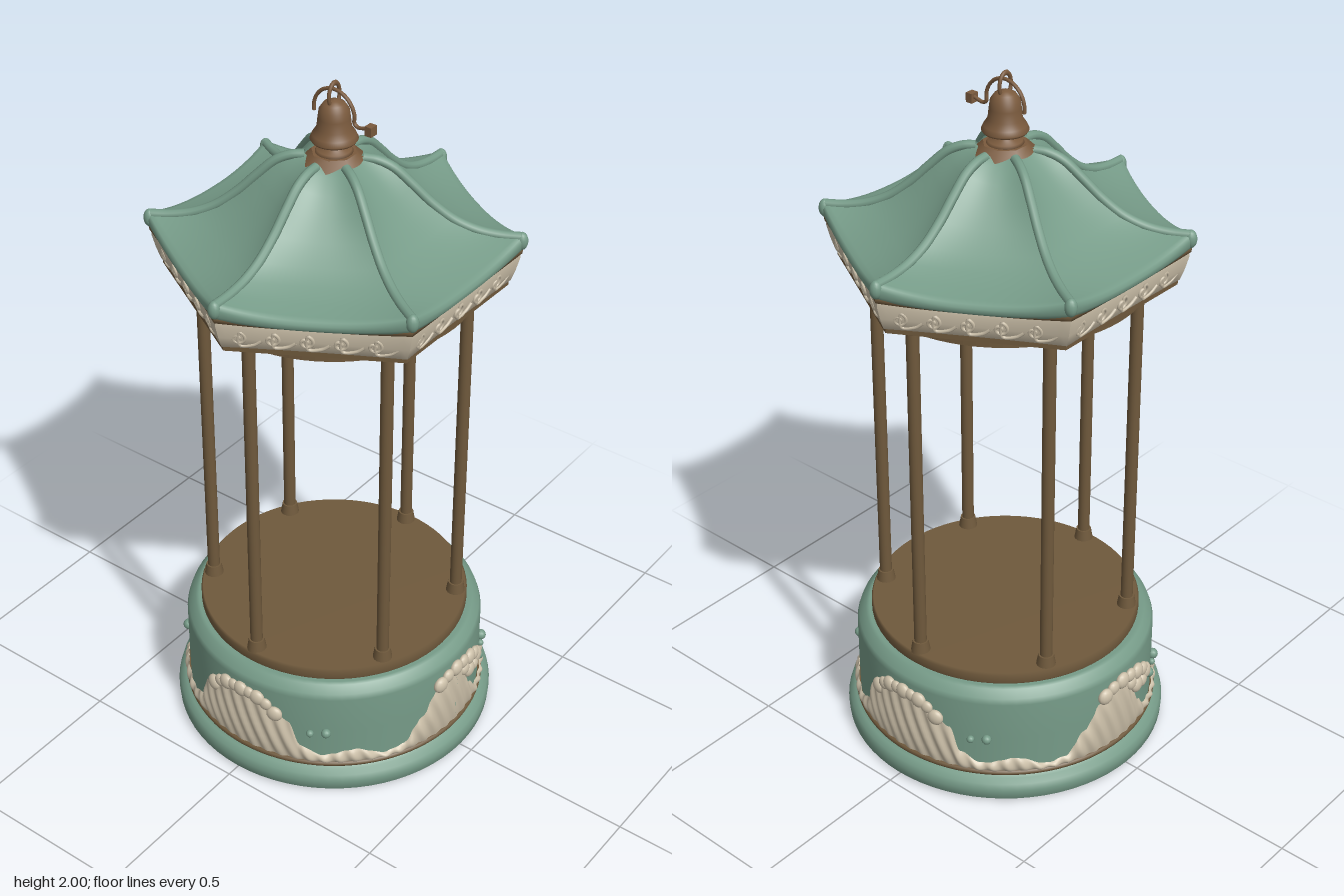
import * as THREE from 'three';
import { mergeGeometries } from 'three/addons/utils/BufferGeometryUtils.js';

const mat = (name, color, side = THREE.FrontSide) => {
  const m = new THREE.MeshStandardMaterial({ color, side });
  m.name = name;
  return m;
};
const V = (x, y, z) => new THREE.Vector3(x, y, z);
const lerp = THREE.MathUtils.lerp;

// Smooth surface: u runs to the right, v runs downward
function grid(nu, nv, f) {
  const pos = [], idx = [];
  for (let j = 0; j <= nv; j++) for (let i = 0; i <= nu; i++) pos.push(...f(i / nu, j));
  for (let j = 0; j < nv; j++) for (let i = 0; i < nu; i++) {
    const a = j * (nu + 1) + i, b = a + nu + 1;
    idx.push(a, b, b + 1, a, b + 1, a + 1);
  }
  const g = new THREE.BufferGeometry();
  g.setAttribute('position', new THREE.Float32BufferAttribute(pos, 3));
  g.setIndex(idx);
  g.computeVertexNormals();
  return g;
}

// Six-sided loft; each row is [mid distance, mid y, corner radius, corner y]
function hexLoft(rows) {
  const face = grid(24, rows.length - 1, (u, j) => {
    const s = u * 2 - 1, [a, ym, r, yc] = rows[j], k = s * s;
    return [s * r / 2, lerp(ym, yc, Math.pow(Math.abs(s), 2.3)), lerp(a, r * Math.cos(Math.PI / 6), k)];
  });
  return mergeGeometries([0, 1, 2, 3, 4, 5].map(i => face.clone().rotateY(i * Math.PI / 3)));
}

const lathe = pts => new THREE.LatheGeometry(pts.map(p => new THREE.Vector2(...p)), 72);

// Height of the wave relief by angle in degrees, repeating every half turn
const waveTable = [[-45, 0.13], [-33, 0.1], [-26, 0.11], [-18, 0.18], [-11, 0.25], [-4, 0.29], [3, 0.28],
  [7, 0.22], [12, 0.16], [18, 0.115], [28, 0.105], [42, 0.135], [58, 0.115], [66, 0.14], [70, 0.22],
  [76, 0.245], [79, 0.285], [90, 0.295], [101, 0.285], [104, 0.245], [110, 0.22], [114, 0.14], [122, 0.11], [135, 0.13]];
function waveHeight(deg) {
  const d = ((deg + 45) % 180 + 180) % 180 - 45;
  const i = Math.max(1, waveTable.findIndex(p => p[0] >= d));
  const [a, b] = [waveTable[i - 1], waveTable[i]];
  return lerp(a[1], b[1], THREE.MathUtils.smoothstep(d, a[0], b[0]));
}

export function createModel() {
  const model = new THREE.Group();
  const green = mat('celadon green', 0x769b88, THREE.DoubleSide);
  const brown = mat('bronze brown', 0x6f593c);
  const copper = mat('copper brown', 0x7a5a3d);
  const cream = mat('ivory cream', 0xcdc1aa, THREE.DoubleSide);
  const add = (name, geo, m, parent = model) => {
    const mesh = new THREE.Mesh(geo, m);
    mesh.name = name;
    parent.add(mesh);
    return mesh;
  };

  // Round base
  add('baseDrum', lathe([[0, 0], [0.452, 0], [0.464, 0.008], [0.466, 0.035], [0.46, 0.055], [0.445, 0.066], [0.43, 0.07],
    [0.429, 0.08], [0.43, 0.2], [0.43, 0.315], [0.424, 0.332], [0.405, 0.352], [0.395, 0.356], [0, 0.356]]), green);
  add('baseTrim', new THREE.TorusGeometry(0.432, 0.009, 8, 96).rotateX(Math.PI / 2).translate(0, 0.078, 0), brown);
  add('floorDisc', lathe([[0, 0.35], [0.382, 0.35], [0.387, 0.36], [0.387, 0.383], [0.382, 0.39], [0, 0.39]]), brown);

  // Wave relief around the drum
  const around = (deg, y, r) => {
    const a = deg * Math.PI / 180;
    return [Math.sin(a) * r, y, Math.cos(a) * r];
  };
  add('waveRelief', grid(480, 10, (u, j) => {
    const deg = u * 360, h = waveHeight(deg), v = 1 - j / 10, y = lerp(0.082, h, v);
    const body = Math.pow(Math.sin(Math.PI * (0.06 + 0.88 * v)), 0.5);
    const groove = Math.sin(deg * 1.1 + (y - 0.08) * 55) * 0.0035;
    return around(deg, y, 0.427 + (0.015 + groove) * body);
  }), cream);

  // Foam crests: curling on front and back, domed on the sides
  const foam = [];
  const blob = (deg, y, r) => foam.push(new THREE.SphereGeometry(r, 14, 10).scale(1, 1, 0.6)
    .rotateY(deg * Math.PI / 180).translate(...around(deg, y, 0.436)));
  const curl = [[-9, 0.268], [-5, 0.282], [0, 0.287], [5, 0.283], [10, 0.272], [15, 0.255], [18, 0.232], [15, 0.215], [10, 0.225], [6, 0.25]];
  for (const turn of [0, 180]) {
    curl.forEach(([d, y], i) => blob(turn + d, y, i % 2 ? 0.021 : 0.025));
    for (let i = -4; i <= 4; i++) {
      const d = i * 3.6;
      blob(turn + 90 + d, 0.286 - Math.pow(Math.abs(i) / 4, 3) * 0.045, i % 2 ? 0.019 : 0.024);
    }
  }
  add('waveFoam', mergeGeometries(foam), cream);
  const drops = [];
  for (const turn of [0, 180]) for (const [d, y, r] of [[24, 0.19, 0.015], [31, 0.188, 0.01], [34, 0.2, 0.016], [-56, 0.195, 0.014], [-62, 0.19, 0.011]])
    drops.push(new THREE.SphereGeometry(r, 12, 8).translate(...around(turn + d, y, 0.434)));
  add('waveDrops', mergeGeometries(drops), green);

  // Six pillars with feet and collars
  for (let i = 0; i < 6; i++) {
    const pillar = new THREE.Group();
    pillar.name = 'pillar' + (i + 1);
    pillar.position.set(Math.cos(i * Math.PI / 3) * 0.36, 0, Math.sin(i * Math.PI / 3) * 0.352);
    add('pillarShaft', new THREE.CylinderGeometry(0.0175, 0.0175, 1.04, 16).translate(0, 0.905, 0), brown, pillar);
    add('pillarFoot', new THREE.CylinderGeometry(0.022, 0.028, 0.035, 16).translate(0, 0.404, 0), brown, pillar);
    add('pillarCollar', new THREE.CylinderGeometry(0.025, 0.021, 0.018, 16).translate(0, 1.412, 0), brown, pillar);
    model.add(pillar);
  }

  // Ceiling plates with a central opening
  const plate = (radius, sides, y, depth) => {
    const s = new THREE.Shape();
    for (let i = 0; i < sides; i++) {
      const a = i / sides * Math.PI * 2;
      s[i ? 'lineTo' : 'moveTo'](Math.cos(a) * radius, Math.sin(a) * radius);
    }
    s.closePath();
    s.holes.push(new THREE.Path().absarc(0, 0, 0.13, 0, Math.PI * 2, true));
    return new THREE.ExtrudeGeometry(s, { depth, bevelEnabled: false, curveSegments: 24 })
      .rotateX(-Math.PI / 2).translate(0, y, 0);
  };
  add('ceilingRing', plate(0.384, 72, 1.42, 0.022), brown);
  add('ceilingPanel', plate(0.457, 6, 1.441, 0.014), brown);

  // Carved frieze under the eaves
  add('frieze', hexLoft([[0.402, 1.532, 0.482, 1.545], [0.407, 1.515, 0.484, 1.525], [0.402, 1.485, 0.474, 1.488],
    [0.396, 1.455, 0.462, 1.455], [0.38, 1.45, 0.44, 1.45]]), cream);
  const swirl = [];
  for (let i = 0; i <= 16; i++) {
    const a = -0.4 + i * 0.5, r = 0.004 + 0.0011 * i;
    swirl.push(V(Math.cos(a) * r, Math.sin(a) * r, 0));
  }
  swirl.push(V(0.005, -0.024, 0), V(0.04, -0.02, 0), V(0.06, -0.005, 0));
  const swirlGeo = new THREE.TubeGeometry(new THREE.CatmullRomCurve3(swirl), 44, 0.0045, 6);
  const carving = [];
  for (let f = 0; f < 6; f++) for (let i = 0; i < 5; i++)
    carving.push(swirlGeo.clone().rotateX(0.2).translate(-0.19 + i * 0.085, 1.488, 0.405).rotateY(f * Math.PI / 3));
  add('friezeSwirls', mergeGeometries(carving), cream);
  add('eaveTrim', hexLoft([[0.405, 1.542, 0.485, 1.56], [0.413, 1.536, 0.49, 1.55], [0.412, 1.526, 0.488, 1.538], [0.398, 1.522, 0.478, 1.535]]), brown);

  // Swept six-sided roof shell with upturned corners
  add('roof', hexLoft([[0.062, 1.79, 0.075, 1.792], [0.09, 1.777, 0.11, 1.786], [0.13, 1.745, 0.15, 1.768], [0.17, 1.7, 0.2, 1.722],
    [0.21, 1.658, 0.25, 1.672], [0.26, 1.616, 0.31, 1.626], [0.31, 1.588, 0.37, 1.6], [0.36, 1.57, 0.43, 1.59],
    [0.4, 1.56, 0.475, 1.591], [0.416, 1.556, 0.49, 1.592], [0.423, 1.548, 0.496, 1.582], [0.423, 1.536, 0.494, 1.562],
    [0.416, 1.528, 0.486, 1.546], [0.395, 1.53, 0.465, 1.545]]), green);
  const ridgePath = new THREE.CatmullRomCurve3([[0.075, 1.79], [0.11, 1.786], [0.15, 1.768], [0.2, 1.722], [0.25, 1.672],
    [0.31, 1.626], [0.37, 1.6], [0.43, 1.589], [0.484, 1.587]].map(([r, y]) => V(r, y, 0)));
  for (let i = 0; i < 6; i++) {
    const ridge = new THREE.Group();
    ridge.name = 'roofRidge' + (i + 1);
    ridge.rotation.y = i * Math.PI / 3;
    add('ridgeRoll', new THREE.TubeGeometry(ridgePath, 40, 0.013, 10), green, ridge);
    add('ridgeTip', new THREE.SphereGeometry(0.017, 14, 10).scale(1, 1.5, 1).translate(0.485, 1.575, 0), green, ridge);
    model.add(ridge);
  }

  // Finial: flange, bell and hanging loop
  add('finialFlange', new THREE.CylinderGeometry(0.06, 0.09, 0.03, 8).rotateY(Math.PI / 8).translate(0, 1.79, 0), copper);
  add('finialBell', lathe([[0, 1.775], [0.052, 1.8], [0.045, 1.812], [0.022, 1.818], [0.018, 1.835], [0.058, 1.836], [0.062, 1.842],
    [0.056, 1.855], [0.045, 1.872], [0.042, 1.9], [0.039, 1.922], [0.028, 1.938], [0.012, 1.946], [0, 1.948]]), copper);
  add('bellLoop', new THREE.TorusGeometry(0.022, 0.005, 8, 28).scale(1, 1.5, 1).translate(0, 1.96, 0), copper);
  const hook = [V(0, 1.9, 0.105), V(0, 1.893, 0.075)];
  for (let i = 0; i <= 10; i++) {
    const a = -0.15 + i / 10 * (Math.PI + 0.3);
    hook.push(V(0, 1.91 + Math.sin(a) * 0.066, Math.cos(a) * 0.064));
  }
  add('hookArm', new THREE.TubeGeometry(new THREE.CatmullRomCurve3(hook), 60, 0.005, 8), copper);
  add('hookWeight', new THREE.BoxGeometry(0.024, 0.026, 0.02).translate(0, 1.897, 0.113), copper);

  return model;
}
